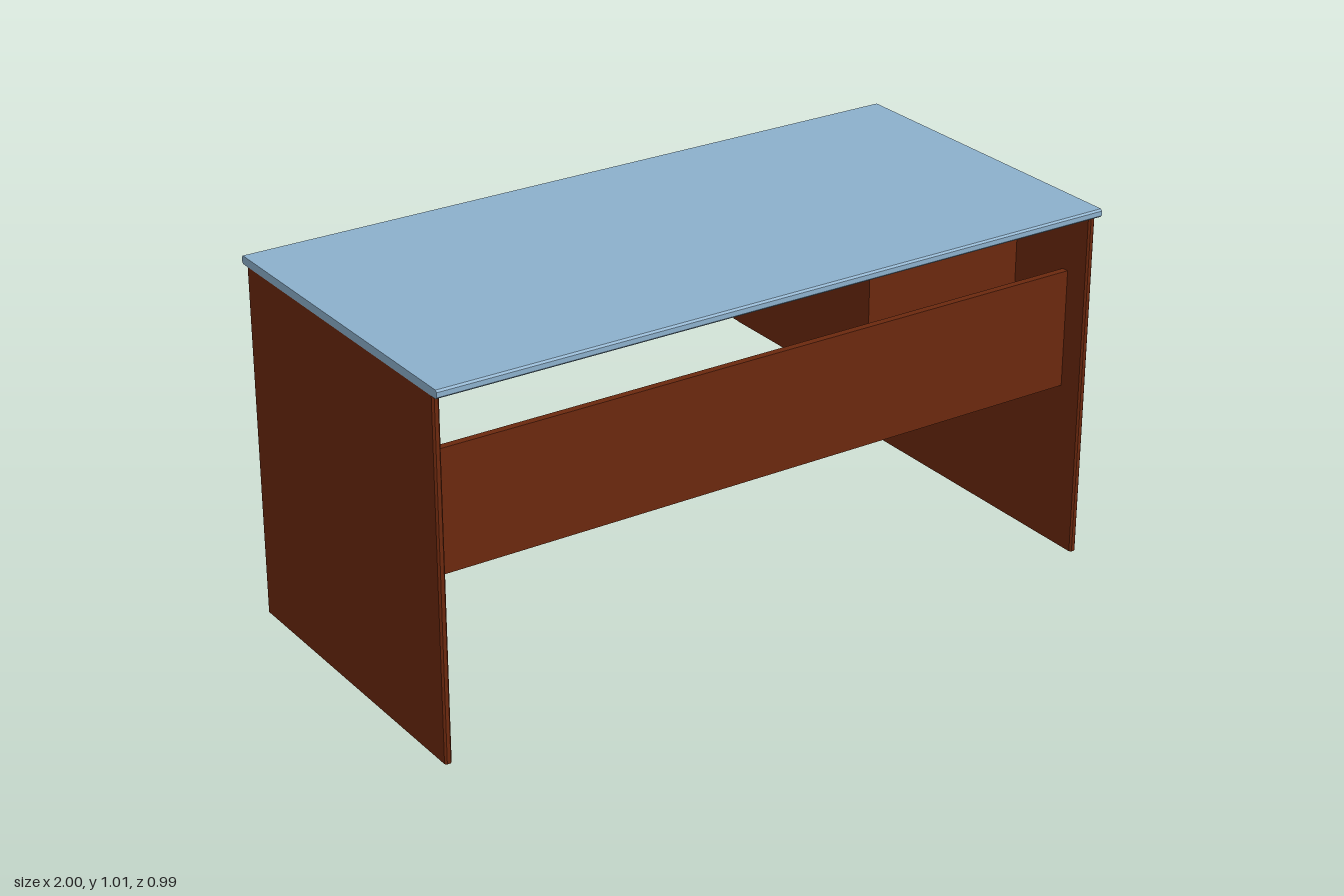
import * as THREE from 'three';

const wood = new THREE.MeshStandardMaterial({ color: 0x6b280e });
const blue = new THREE.MeshStandardMaterial({ color: 0x8cb0cc });
const green = new THREE.MeshStandardMaterial({ color: 0x2f6b12 });

function add(parent, name, geometry, material) {
  const mesh = new THREE.Mesh(geometry, material);
  mesh.name = name;
  parent.add(mesh);
  return mesh;
}

// Box given by its minimum and maximum corners
function box(parent, name, [x0, y0, z0], [x1, y1, z1], material = wood) {
  const mesh = add(parent, name, new THREE.BoxGeometry(x1 - x0, y1 - y0, z1 - z0), material);
  mesh.position.set((x0 + x1) / 2, (y0 + y1) / 2, (z0 + z1) / 2);
  return mesh;
}

// Rectangle with cut corners, extruded along its own z
function chamferedBar(w, h, c, depth) {
  const a = w / 2, b = h / 2;
  const points = [[-a + c, -b], [a - c, -b], [a, -b + c], [a, b - c],
    [a - c, b], [-a + c, b], [-a, b - c], [-a, -b + c]];
  const shape = new THREE.Shape(points.map(([x, y]) => new THREE.Vector2(x, y)));
  return new THREE.ExtrudeGeometry(shape, { depth, bevelEnabled: false });
}

// Flat curved pull: a band between two arcs, bulging towards -z
function handleGeometry() {
  const shape = new THREE.Shape();
  shape.absarc(0, 0, 0.095, 0.33, Math.PI - 0.33, false);
  shape.absarc(0, 0, 0.083, Math.PI - 0.36, 0.36, true);
  shape.closePath();
  return new THREE.ExtrudeGeometry(shape, { depth: 0.01, bevelEnabled: false, curveSegments: 10 })
    .translate(0, 0, -0.005)
    .rotateX(-Math.PI / 2);
}

export function createModel() {
  const desk = new THREE.Group();
  desk.name = 'desk';

  // Table top with eased long edges
  const top = add(desk, 'tableTop', chamferedBar(0.975, 0.023, 0.005, 2), blue);
  top.geometry.translate(0, 0, -1).rotateY(Math.PI / 2);
  top.position.set(0, 1.0015, 0.01);

  // Side panels with eased vertical edges
  for (const [name, side] of [['leftPanel', 1], ['rightPanel', -1]]) {
    const panel = add(desk, name, chamferedBar(0.02, 0.93, 0.005, 0.99), wood);
    panel.geometry.rotateX(-Math.PI / 2);
    panel.position.set(side * 0.989, 0, 0.01);
  }

  // Modesty panel between the sides
  box(desk, 'modestyPanel', [-0.98, 0.475, 0.38], [0.98, 0.81, 0.4]);

  // Drawer cabinet hung under the top
  const cabinet = new THREE.Group();
  cabinet.name = 'drawerCabinet';
  desk.add(cabinet);
  box(cabinet, 'cabinetBody', [0.482, 0.49, -0.412], [0.98, 0.99, 0.188]);

  // Three drawer fronts, each with a handle
  const levels = [0.49, 0.657, 0.826, 0.99];
  const handleHeights = [0.573, 0.742, 0.914];
  const pull = handleGeometry();
  handleHeights.forEach((y, i) => {
    box(cabinet, 'drawerFront', [0.482, levels[i] + 0.001, -0.432], [0.98, levels[i + 1] - 0.001, -0.412]);
    add(cabinet, 'drawerHandle', pull, green).position.set(0.727, y, -0.401);
  });

  return desk;
}
